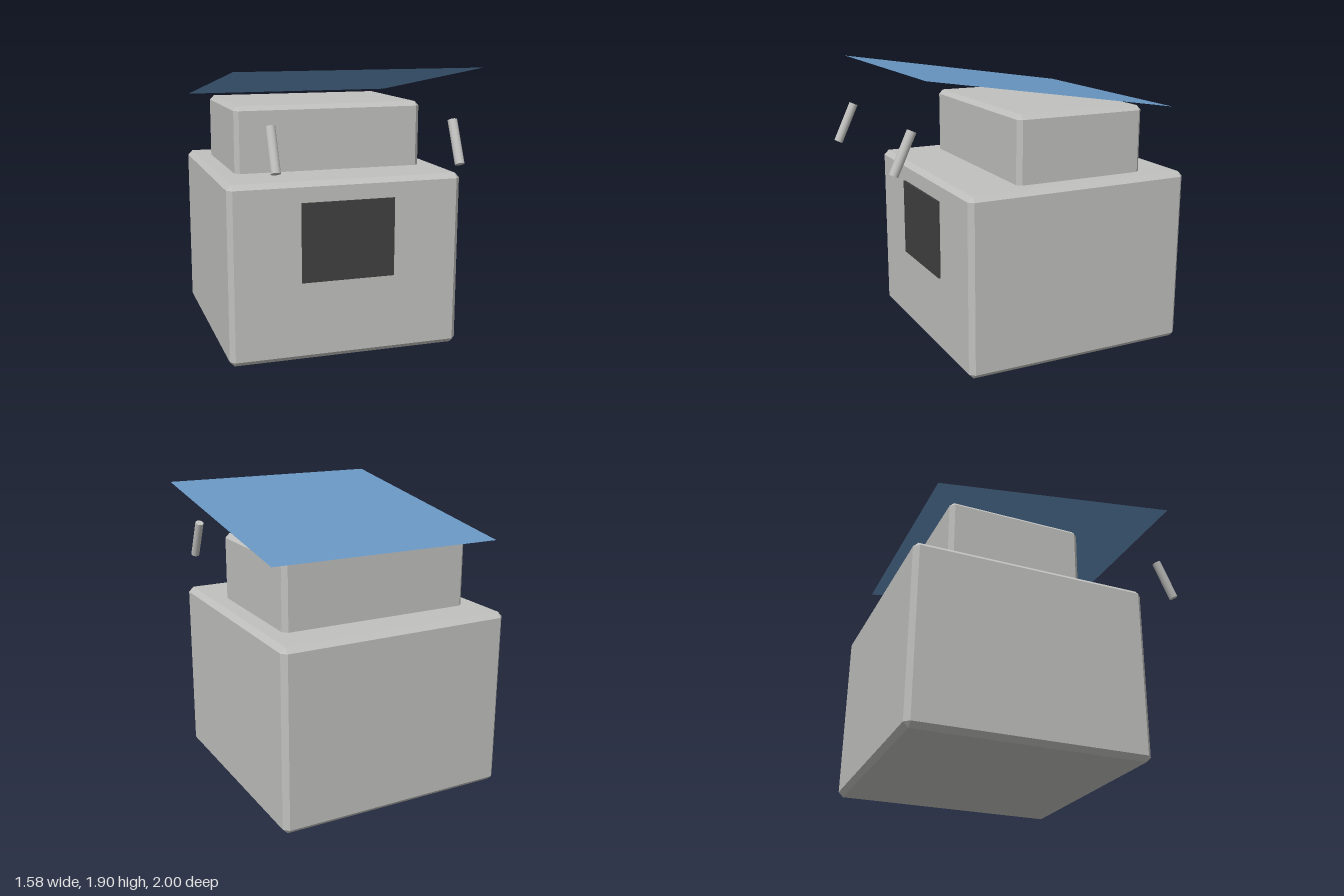
import * as THREE from 'three';
import { ConvexGeometry } from 'three/addons/geometries/ConvexGeometry.js';

const shellGrey = new THREE.MeshStandardMaterial({ color: 0xc0c0be });
const panelBlue = new THREE.MeshStandardMaterial({ color: 0x6997c3, side: THREE.DoubleSide });
const screenDark = new THREE.MeshStandardMaterial({ color: 0x404040 });

// Box with flat chamfers along every edge
function chamferBox(w, h, d, c) {
  const points = [];
  for (const x of [-1, 1]) for (const y of [-1, 1]) for (const z of [-1, 1]) {
    for (let axis = 0; axis < 3; axis++) {
      points.push(new THREE.Vector3(
        x * (w / 2 - (axis === 0 ? 0 : c)),
        y * (h / 2 - (axis === 1 ? 0 : c)),
        z * (d / 2 - (axis === 2 ? 0 : c))
      ));
    }
  }
  return new ConvexGeometry(points);
}

export function createModel() {
  const model = new THREE.Group();
  const add = (name, geometry, material, x, y, z, tilt = 0) => {
    const mesh = new THREE.Mesh(geometry, material);
    mesh.name = name;
    mesh.position.set(x, y, z);
    mesh.rotation.x = tilt;
    model.add(mesh);
  };

  // Main cabinet
  add('body', chamferBox(1.58, 1.19, 1.58, 0.033), shellGrey, 0, 0.595, -0.21);

  // Upper block, its lower chamfer sunk into the body
  add('head', chamferBox(1.31, 0.475, 0.92, 0.03), shellGrey, 0, 1.3975, -0.275);

  // Sloping roof sheet, higher at the front
  const run = 1.71, rise = 0.262;
  const roof = new THREE.PlaneGeometry(1.58, Math.hypot(run, rise)).rotateX(-Math.PI / 2);
  add('roofPanel', roof, panelBlue, 0, 1.768, -0.015, -Math.atan2(rise, run));

  // Front screen
  add('screen', new THREE.BoxGeometry(0.63, 0.525, 0.016), screenDark, 0, 0.793, 0.586);

  // Floating rods leaning back at the top
  for (const side of [-1, 1]) {
    add(side > 0 ? 'leftRod' : 'rightRod', new THREE.CylinderGeometry(0.03, 0.03, 0.286, 16),
      shellGrey, side * 0.58, 1.453, 0.915, -0.436);
  }
  return model;
}
